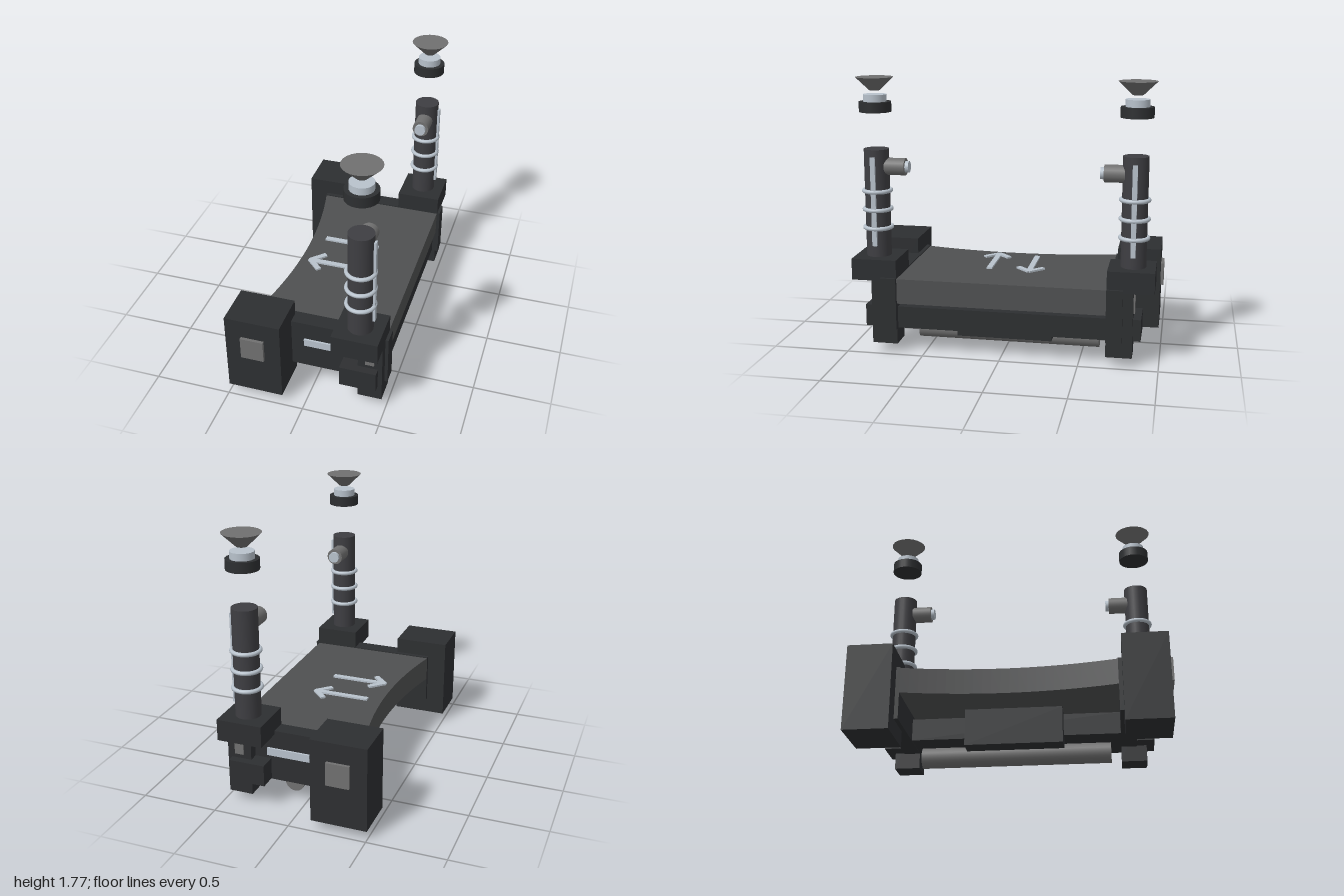
import * as THREE from 'three';

const mat = (color) => {
  const m = new THREE.MeshStandardMaterial();
  m.color.set(color);
  return m;
};

export function createModel() {
  const model = new THREE.Group();
  model.name = 'conveyorFrame';
  const dark = mat(0x2d2f31), deckGrey = mat(0x4f5051), postGrey = mat(0x3e3e42);
  const grey = mat(0x707070), light = mat(0xb8c2cc);

  const add = (parent, name, geometry, material) => {
    const mesh = new THREE.Mesh(geometry, material);
    mesh.name = name;
    parent.add(mesh);
    return mesh;
  };
  // Box given by its extents on each axis
  const box = (parent, name, material, [x0, x1], [y0, y1], [z0, z1]) => {
    const mesh = add(parent, name, new THREE.BoxGeometry(x1 - x0, y1 - y0, z1 - z0), material);
    mesh.position.set((x0 + x1) / 2, (y0 + y1) / 2, (z0 + z1) / 2);
    return mesh;
  };
  // Upright cylinder from y0 to y1
  const post = (parent, name, material, rTop, rBottom, y0, y1, x, z) => {
    const mesh = add(parent, name, new THREE.CylinderGeometry(rTop, rBottom, y1 - y0, 24), material);
    mesh.position.set(x, (y0 + y1) / 2, z);
    return mesh;
  };
  // Cylinder lying along z, from z0 to z1
  const rod = (parent, name, material, r, x, y, z0, z1) => {
    const mesh = add(parent, name, new THREE.CylinderGeometry(r, r, Math.abs(z1 - z0), 24), material);
    mesh.rotation.x = Math.PI / 2;
    mesh.position.set(x, y, (z0 + z1) / 2);
    return mesh;
  };

  // Deck with a concave rear edge
  const outline = new THREE.Shape();
  outline.moveTo(-0.375, -0.67);
  outline.lineTo(0.47, -0.67);
  outline.lineTo(0.47, 0.67);
  outline.lineTo(-0.375, 0.67);
  outline.quadraticCurveTo(-0.215, 0, -0.375, -0.67);
  const deckGeometry = new THREE.ExtrudeGeometry(outline, { depth: 0.163, bevelEnabled: false, curveSegments: 24 });
  deckGeometry.rotateX(-Math.PI / 2);
  add(model, 'deck', deckGeometry, deckGrey).position.y = 0.335;

  // Cross beam, under box and roller
  box(model, 'crossBeam', dark, [0.05, 0.45], [0.168, 0.31], [-0.68, 0.68]);
  box(model, 'underBox', dark, [-0.065, 0.315], [0.087, 0.322], [-0.31, 0.31]);
  rod(model, 'roller', grey, 0.065, 0.125, 0.067, -0.605, 0.605);

  // Direction arrows on the deck: one points to +x, the other to -x
  for (const [name, dir, tip, z] of [['arrowOut', 1, 0.175, -0.138], ['arrowBack', -1, -0.24, 0.132]]) {
    const arrow = new THREE.Group();
    arrow.name = name;
    arrow.position.set(tip, 0.5, z);
    arrow.rotation.y = dir > 0 ? 0 : Math.PI;
    box(arrow, 'shaft', light, [-0.378, -0.01], [-0.01, 0.01], [-0.018, 0.018]);
    for (const s of [-1, 1]) {
      const barb = add(arrow, 'barb', new THREE.BoxGeometry(0.125, 0.02, 0.034), light);
      barb.position.set(-0.053, 0, s * 0.04);
      barb.rotation.y = s * Math.PI / 4;
    }
    model.add(arrow);
  }

  // Matching end assemblies; s mirrors positions along z
  for (const s of [1, -1]) {
    const end = new THREE.Group();
    end.name = s > 0 ? 'frontEnd' : 'backEnd';
    model.add(end);
    const zr = (a, b) => (s > 0 ? [a, b] : [-b, -a]);
    const px = 0.327, pz = s * 0.822;

    // Side rail, corner housing and leg
    box(end, 'sideRail', dark, [-0.375, 0.492], [0.165, 0.505], zr(0.67, 0.772));
    box(end, 'railStrip', light, [-0.055, 0.23], [0.335, 0.385], zr(0.76, 0.785));
    box(end, 'cornerHousing', dark, [-0.5, -0.14], [0.062, 0.61], zr(0.695, 0.98));
    box(end, 'housingPlate', grey, [-0.395, -0.245], [0.335, 0.485], zr(0.97, 1));
    box(end, 'leg', dark, [0.315, 0.472], [0.065, 0.49], zr(0.67, 0.835));
    box(end, 'legPlate', grey, [0.363, 0.422], [0.34, 0.48], zr(0.82, 0.845));
    box(end, 'legBracket', dark, [0.208, 0.445], [0.17, 0.31], zr(0.76, 0.885));
    box(end, 'postBase', dark, [0.18, 0.473], [0.482, 0.62], zr(0.67, 0.963));

    // Post with rings and a scale strip
    post(end, 'post', postGrey, 0.08, 0.08, 0.61, 1.315, px, pz);
    for (const y of [0.805, 0.925, 1.045]) {
      const ring = add(end, 'ring', new THREE.TorusGeometry(0.086, 0.0135, 10, 32), light);
      ring.rotation.x = Math.PI / 2;
      ring.position.set(px, y, pz);
    }
    box(end, 'scaleStrip', light, [0.395, 0.42], [0.695, 1.27], zr(0.807, 0.838));

    // Inward knob
    rod(end, 'knob', grey, 0.055, px, 1.202, s * 0.76, s * 0.63);
    rod(end, 'knobTip', light, 0.037, px, 1.202, s * 0.64, s * 0.607);

    // Separate cap and flared cup above the post
    post(end, 'capBase', dark, 0.102, 0.102, 1.55, 1.615, px, pz);
    post(end, 'capCollar', light, 0.074, 0.074, 1.61, 1.66, px, pz);
    post(end, 'flaredCup', grey, 0.12, 0.034, 1.685, 1.768, px, pz);
  }
  return model;
}
